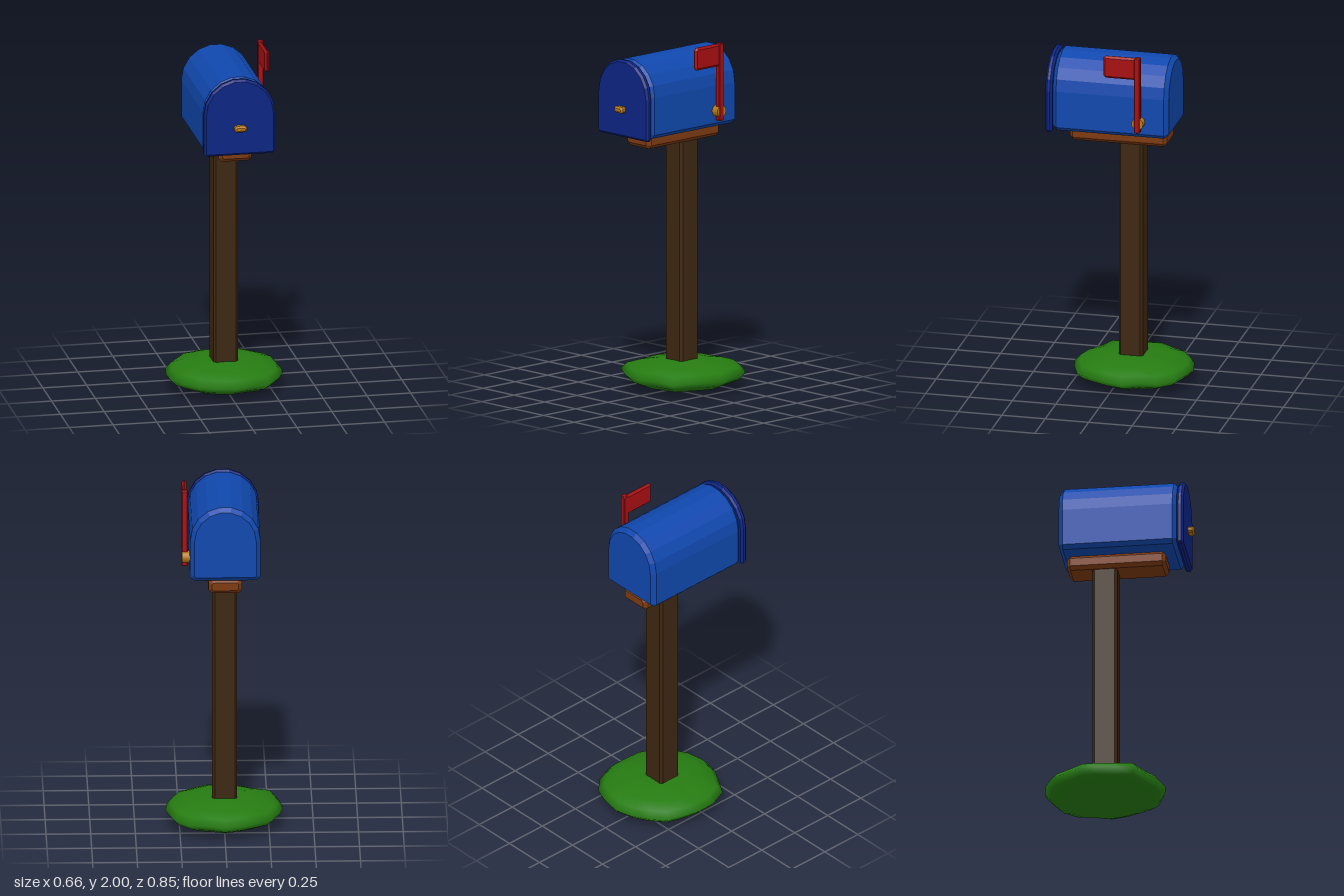
import * as THREE from 'three';
import { mergeVertices } from 'three/addons/utils/BufferGeometryUtils.js';

const mat = (name, color) => new THREE.MeshStandardMaterial({ name, color });
const V = (x, y) => new THREE.Vector2(x, y);

// Rectangle outline with cut corners, centred on the origin
function cutRect(w, h, c) {
  const x = w / 2, y = h / 2;
  return [V(-x + c, -y), V(x - c, -y), V(x, -y + c), V(x, y - c),
    V(x - c, y), V(-x + c, y), V(-x, y - c), V(-x, -y + c)];
}

// Round-topped outline with cut lower corners
function archOutline(halfWidth, bottom, top, c) {
  const centreY = top - halfWidth * Math.cos(Math.PI / 18);
  const points = [V(-halfWidth, bottom + c), V(-halfWidth + c, bottom),
    V(halfWidth - c, bottom), V(halfWidth, bottom + c)];
  for (let i = 0; i <= 9; i++) {
    const a = (i / 9) * Math.PI;
    points.push(V(halfWidth * Math.cos(a), centreY + halfWidth * Math.sin(a)));
  }
  return points;
}

// Extrusion centred along z, with a single chamfer kept inside the outline
function slab(points, depth, c) {
  const geo = new THREE.ExtrudeGeometry(new THREE.Shape(points), {
    depth: depth - 2 * c, bevelEnabled: true, bevelThickness: c,
    bevelSize: c, bevelOffset: -c, bevelSegments: 1,
  });
  geo.translate(0, 0, c - depth / 2);
  geo.computeVertexNormals();
  return geo;
}

const chamferBox = (w, h, d, c) => slab(cutRect(w, h, c), d, c);

export function createModel() {
  const model = new THREE.Group();
  model.name = 'mailbox';
  const blue = mat('blue', 0x1048ae);
  const navy = mat('navy', 0x0c2584);
  const darkWood = mat('dark wood', 0x3d2711);
  const wood = mat('wood', 0x7e3a10);
  const red = mat('red', 0xa80f12);
  const brass = mat('brass', 0xb87a18);
  const green = mat('grass green', 0x267c12);

  const add = (name, geo, material, x, y, z) => {
    const mesh = new THREE.Mesh(geo, material);
    mesh.name = name;
    mesh.position.set(x, y, z);
    model.add(mesh);
    return mesh;
  };

  // Grass mound: a lathe with an uneven rim, one radius every 18 degrees
  const rim = [0.345, 0.34, 0.348, 0.34, 0.333, 0.33, 0.332, 0.347, 0.351, 0.346,
    0.34, 0.337, 0.337, 0.332, 0.331, 0.33, 0.338, 0.355, 0.332, 0.338];
  const profile = [[0, 0.005], [0.4, 0.01], [0.7, 0.03], [0.9, 0.06], [1, 0.093],
    [0.9, 0.13], [0.7, 0.152], [0.4, 0.17], [0, 0.176]].map(([r, y]) => V(r, y));
  let mound = new THREE.LatheGeometry(profile, rim.length);
  const pos = mound.attributes.position;
  for (let i = 0; i < pos.count; i++) {
    const k = Math.floor(i / profile.length) % rim.length;
    const r = Math.hypot(pos.getX(i), pos.getZ(i));
    const lift = 0.007 * r * r * Math.sin(k * 2.3);
    pos.setXYZ(i, pos.getX(i) * rim[k], Math.max(0, pos.getY(i) + lift), pos.getZ(i) * rim[k]);
  }
  mound.deleteAttribute('normal');
  mound.deleteAttribute('uv');
  mound = mergeVertices(mound, 1e-4);
  mound.computeVertexNormals();
  add('grassMound', mound, green, 0, 0, -0.083);

  // Post and the board that carries the box
  const post = slab(cutRect(0.14, 0.14, 0.014), 1.38, 0.012).rotateX(-Math.PI / 2);
  add('post', post, darkWood, -0.003, 0.77, -0.075);
  add('supportBoard', chamferBox(0.19, 0.085, 0.56, 0.02), wood, -0.003, 1.473, -0.008);

  // Box body and front door
  add('boxBody', slab(archOutline(0.197, 1.515, 1.945, 0.022), 0.668, 0.024), blue, -0.003, 0, 0.013);
  add('door', slab(archOutline(0.203, 1.505, 1.946, 0.013), 0.04, 0.012), navy, -0.003, 0, 0.366);
  add('doorHandle', chamferBox(0.068, 0.036, 0.042, 0.01), brass, -0.003, 1.667, 0.403);

  // Signal flag on the left side
  const pivot = new THREE.CylinderGeometry(0.034, 0.034, 0.05, 12).rotateZ(Math.PI / 2);
  add('flagPivot', pivot, brass, 0.212, 1.61, -0.155);
  const pole = slab(cutRect(0.034, 0.034, 0.004), 0.443, 0.004).rotateX(-Math.PI / 2);
  add('flagPole', pole, red, 0.222, 1.7785, -0.153);
  const flag = slab(cutRect(0.205, 0.13, 0.012), 0.027, 0.012).rotateY(Math.PI / 2);
  add('flagPanel', flag, red, 0.222, 1.934, -0.06);

  return model;
}
